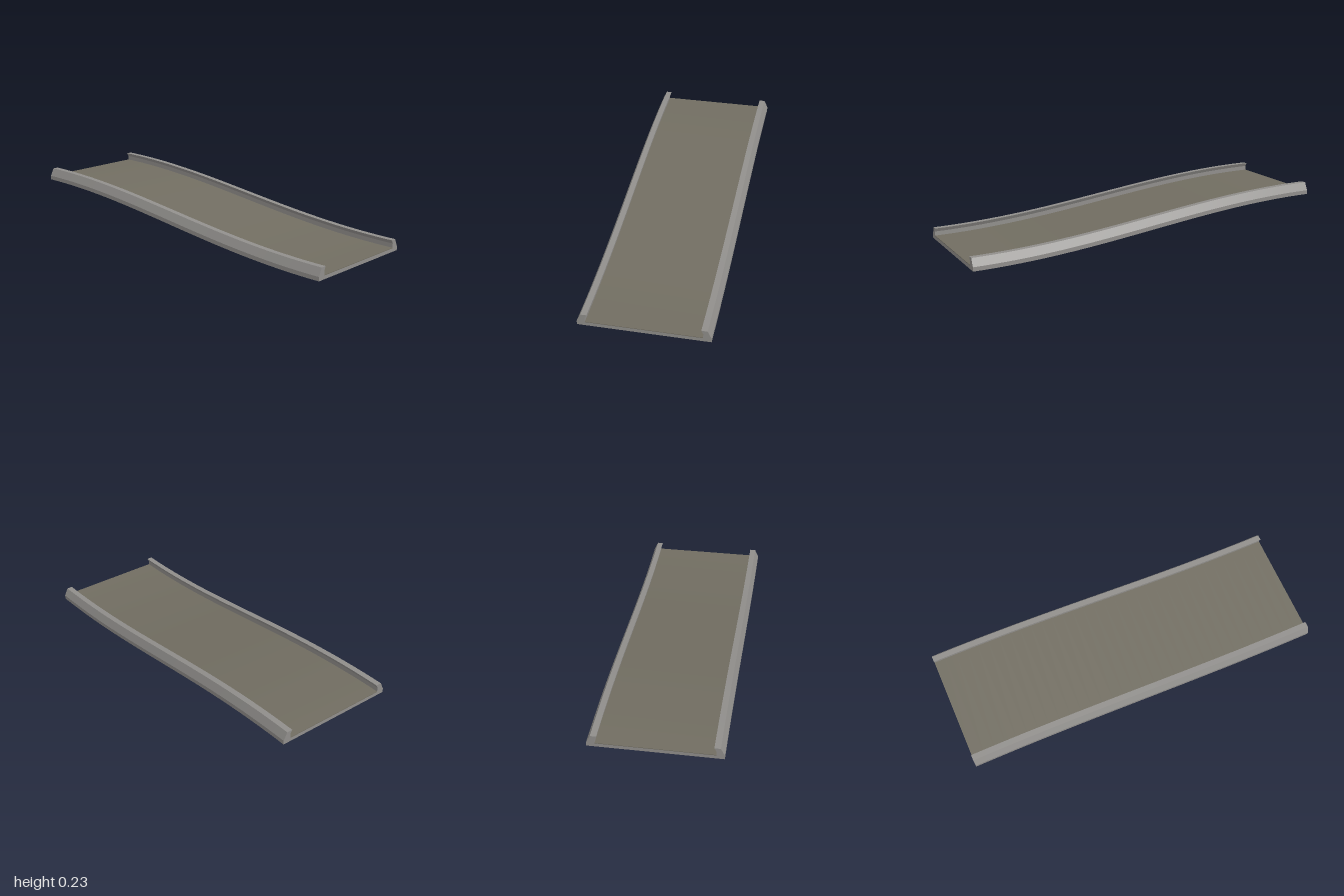
import * as THREE from 'three';
import { toCreasedNormals } from 'three/addons/utils/BufferGeometryUtils.js';

const LENGTH = 2, RISE = 0.166, STEPS = 32;

// Extrude a cross-section along z and lift it along a smooth S-curve.
function sweep(points) {
  const shape = new THREE.Shape(points.map(([x, y]) => new THREE.Vector2(x, y)));
  const geo = new THREE.ExtrudeGeometry(shape, { depth: LENGTH, steps: STEPS, bevelEnabled: false });
  geo.translate(0, 0, -LENGTH / 2);
  const p = geo.attributes.position;
  for (let i = 0; i < p.count; i++) {
    const t = (1 - p.getZ(i)) / LENGTH;
    p.setY(i, p.getY(i) + RISE * (1 - Math.cos(Math.PI * t)) / 2);
  }
  return toCreasedNormals(geo, 0.3);
}

export function createModel() {
  const model = new THREE.Group();
  model.name = 'slopedTrack';
  const frameGrey = new THREE.MeshStandardMaterial({ color: 0x908e8b });
  frameGrey.name = 'frameGrey';
  const deckBrown = new THREE.MeshStandardMaterial({ color: 0x716d61 });
  deckBrown.name = 'deckBrown';

  // Right half of the channel: chamfered outside, overhanging lip inside
  const half = [
    [0.333, 0], [0.333, 0.022], [0.313, 0.064],
    [0.282, 0.064], [0.292, 0.045], [0.292, 0.019],
  ];
  const mirrored = half.map(([x, y]) => [-x, y]).reverse();
  const frame = new THREE.Mesh(sweep([...half, ...mirrored]), frameGrey);
  frame.name = 'frameWithSideRails';

  // Thin running surface between the rails
  const deck = new THREE.Mesh(
    sweep([[-0.292, 0.019], [0.292, 0.019], [0.292, 0.022], [-0.292, 0.022]]), deckBrown);
  deck.name = 'deck';

  model.add(frame, deck);
  return model;
}
